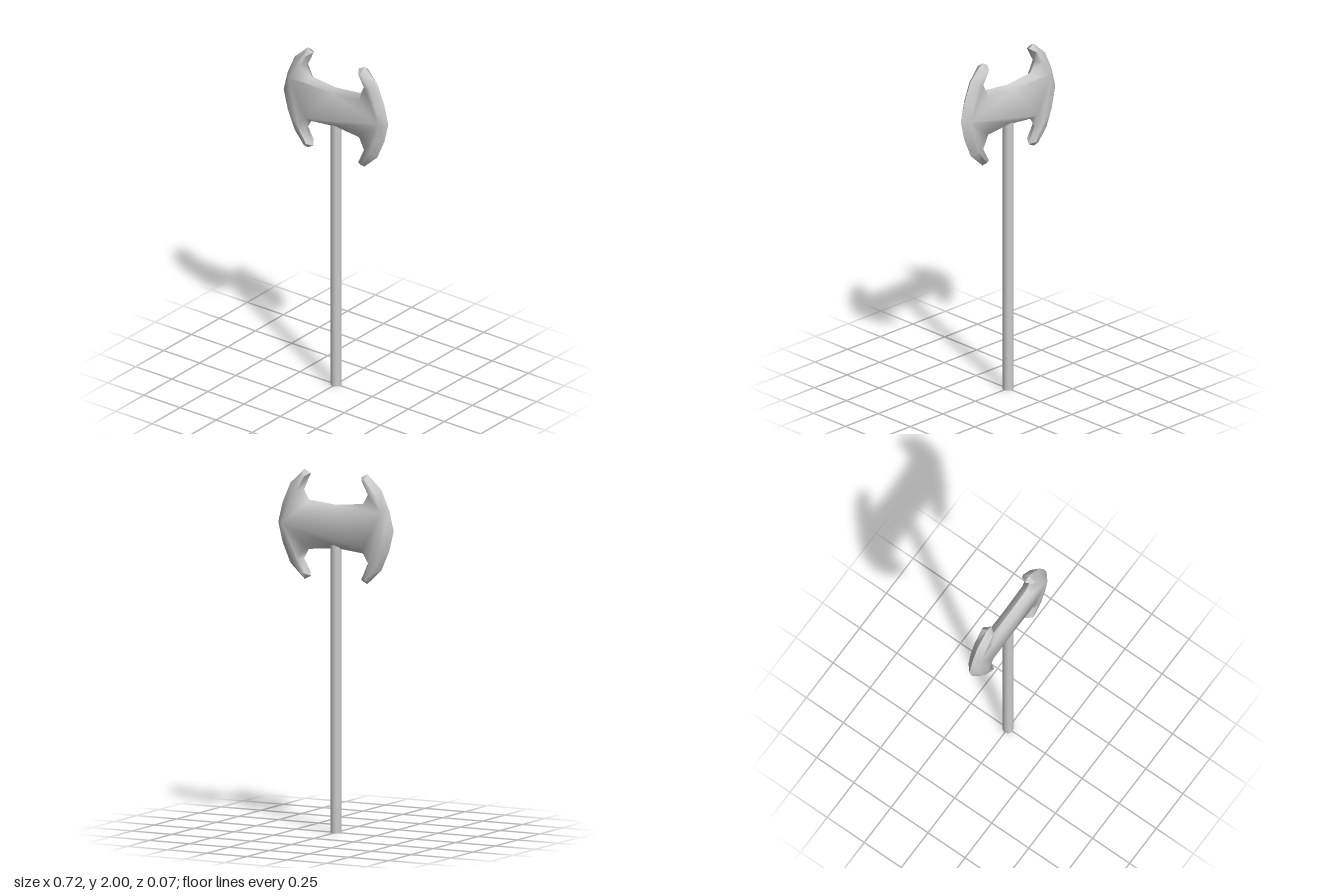
import * as THREE from 'three';
import { toCreasedNormals } from 'three/addons/utils/BufferGeometryUtils.js';

const MID_Y = 1.695; // height of the blade's centre line
const HALF = 0.036; // half thickness of the blade

// One quarter of the head, from the cutting edge's middle to the top centre:
// [edge x, edge y, face x, face y], y measured from the centre line
const QUARTER = [
  [0.362, 0, 0.32, 0],
  [0.335, 0.11, 0.3, 0.1],
  [0.286, 0.222, 0.26, 0.2],
  [0.196, 0.305, 0.195, 0.278],
  [0.158, 0.285, 0.181, 0.268],
  [0.2, 0.19, 0.226, 0.19],
  [0.17, 0.137, 0.185, 0.11],
  [0, 0.12, 0, 0.095],
];

// Mirror the quarter into the full counter-clockwise outline
function outline() {
  const flipX = ([a, b, c, d]) => [-a, b, -c, d];
  const flipY = ([a, b, c, d]) => [a, -b, c, -d];
  const top = [...QUARTER, ...QUARTER.slice(0, -1).reverse().map(flipX)];
  return [...top, ...top.slice(1, -1).reverse().map(flipY)];
}

// Sharp rim at z = 0, bevelled up to a flat face on each side
function bladeGeometry() {
  const pts = outline();
  const n = pts.length;
  const position = [];
  const index = [];
  for (const [x, y] of pts) position.push(x, y, 0);
  for (const z of [HALF, -HALF]) for (const p of pts) position.push(p[2], p[3], z);

  const face = pts.map((p) => new THREE.Vector2(p[2], p[3]));
  const caps = THREE.ShapeUtils.triangulateShape(face, []);
  for (const side of [1, 2]) {
    const start = side * n;
    const tri = (a, b, c) => (side === 1 ? index.push(a, b, c) : index.push(a, c, b));
    for (let i = 0; i < n; i++) {
      const j = (i + 1) % n;
      tri(i, j, start + j);
      tri(i, start + j, start + i);
    }
    for (const [a, b, c] of caps) tri(start + a, start + b, start + c);
  }

  const geometry = new THREE.BufferGeometry();
  geometry.setAttribute('position', new THREE.Float32BufferAttribute(position, 3));
  geometry.setIndex(index);
  return toCreasedNormals(geometry, 1.1);
}

export function createModel() {
  const group = new THREE.Group();
  group.name = 'doubleAxe';
  const material = new THREE.MeshStandardMaterial({ color: 0xcccccc });

  // Straight round shaft, ending inside the head
  const handle = new THREE.Mesh(new THREE.CylinderGeometry(0.03, 0.03, 1.68, 16), material);
  handle.name = 'handle';
  handle.position.y = 0.84;

  // Double-bladed head
  const blade = new THREE.Mesh(bladeGeometry(), material);
  blade.name = 'axeHead';
  blade.position.y = MID_Y;

  group.add(handle, blade);
  return group;
}
